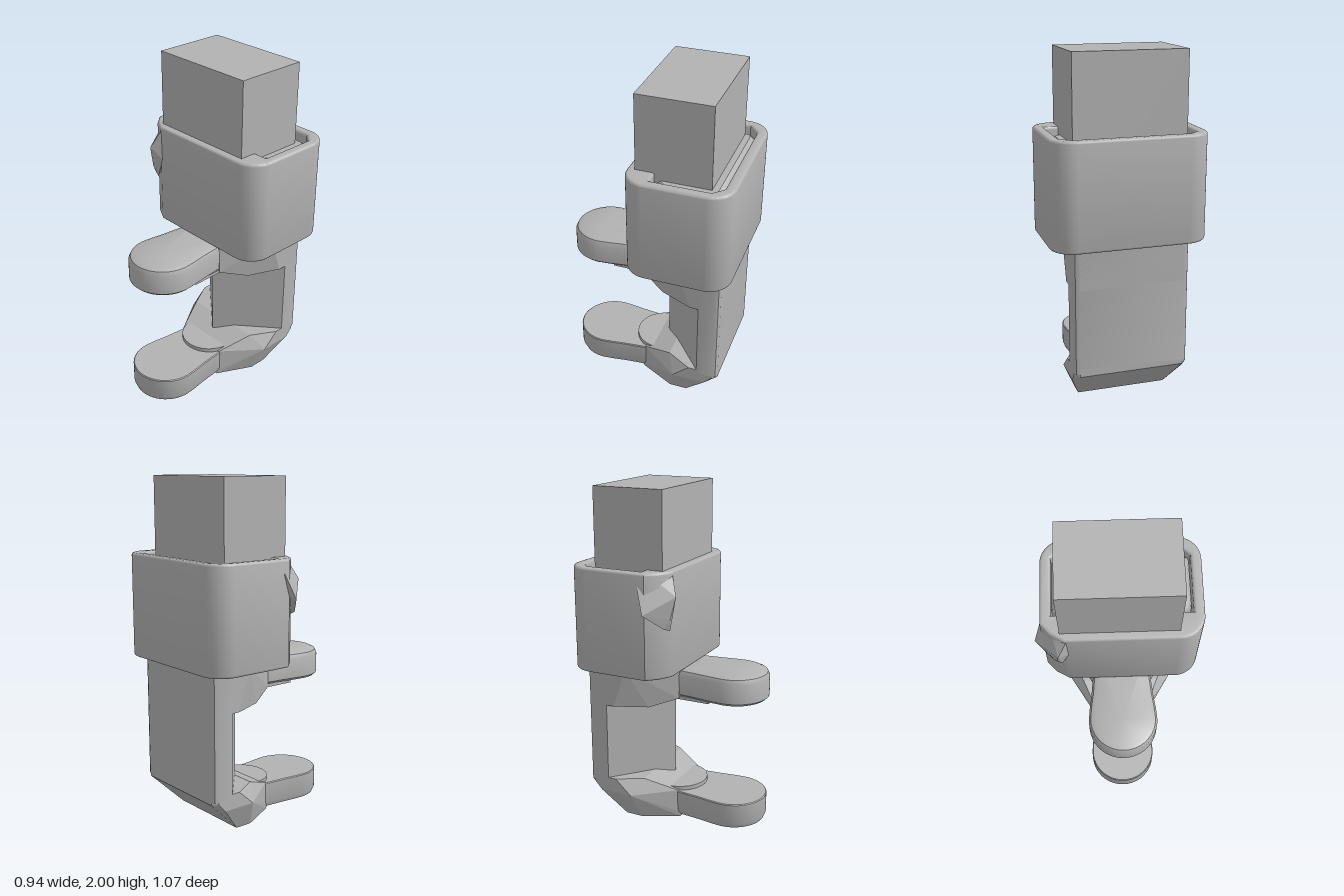
import * as THREE from 'three';
import { toCreasedNormals } from 'three/addons/utils/BufferGeometryUtils.js';
import { ConvexGeometry } from 'three/addons/geometries/ConvexGeometry.js';

const grey = new THREE.MeshStandardMaterial({ color: 0xb2b2b2 });
grey.name = 'plain grey';

function add(parent, name, geometry) {
  const mesh = new THREE.Mesh(geometry, grey);
  mesh.name = name;
  parent.add(mesh);
  return mesh;
}

// Stacks a plan outline [x, z] (running +x, +z, -x, -z) through rings of [inset, y].
function loft(outline, rings) {
  const n = outline.length, pos = [];
  const normals = outline.map((p, i) => {
    const a = outline[(i + n - 1) % n], b = outline[(i + 1) % n];
    return new THREE.Vector2(b[1] - a[1], a[0] - b[0]).normalize();
  });
  const pts = rings.map(([inset, y]) => outline.map((p, i) =>
    [p[0] - normals[i].x * inset, y, p[1] - normals[i].y * inset]));
  const cx = outline.reduce((s, p) => s + p[0], 0) / n;
  const cz = outline.reduce((s, p) => s + p[1], 0) / n;
  const last = pts.length - 1;
  for (let i = 0; i < n; i++) {
    const j = (i + 1) % n;
    for (let r = 0; r < last; r++) {
      const a = pts[r][i], b = pts[r][j], c = pts[r + 1][j], d = pts[r + 1][i];
      pos.push(...a, ...d, ...b, ...b, ...d, ...c);
    }
    pos.push(cx, rings[0][1], cz, ...pts[0][i], ...pts[0][j]);
    pos.push(cx, rings[last][1], cz, ...pts[last][j], ...pts[last][i]);
  }
  const g = new THREE.BufferGeometry();
  g.setAttribute('position', new THREE.Float32BufferAttribute(pos, 3));
  return toCreasedNormals(g, 0.6);
}

// Convex solid from half-width points [x, y, z], mirrored across x.
function mirroredHull(points) {
  return new ConvexGeometry(points.flatMap(([x, y, z]) =>
    [new THREE.Vector3(x, y, z), new THREE.Vector3(-x, y, z)]));
}

// Rounded end of a finger: slightly pinched neck and a half-round tip.
function fingerOutline() {
  const side = [[0.165, -0.12], [0.168, 0], [0.175, 0.08], [0.185, 0.18], [0.197, 0.26]];
  const tip = [];
  for (let i = 0; i <= 24; i++) {
    const t = (i / 24) * Math.PI;
    tip.push([0.203 * Math.cos(t), 0.33 + 0.203 * Math.sin(t)]);
  }
  return [...side, ...tip, ...side.map(([x, z]) => [-x, z]).reverse()];
}

function collarGeometry() {
  // Plan is drawn with y pointing to the back
  const s = new THREE.Shape();
  const r = 0.135, L = -0.425, R = 0.468, F = -0.075, B = 0.535;
  s.moveTo(-0.29, F);
  s.lineTo(R - r, F);
  s.absarc(R - r, F + r, r, -Math.PI / 2, 0, false);
  s.absarc(R - r, B - r, r, 0, Math.PI / 2, false);
  s.absarc(L + r, B - r, r, Math.PI / 2, Math.PI, false);
  s.lineTo(L, 0.03);
  s.lineTo(-0.37, -0.03);
  s.closePath();
  const h = new THREE.Path();
  h.moveTo(-0.365, 0.08);
  h.lineTo(-0.365, 0.42);
  h.lineTo(-0.30, 0.475);
  h.lineTo(0.35, 0.475);
  h.lineTo(0.408, 0.42);
  h.lineTo(0.408, 0.08);
  h.closePath();
  s.holes.push(h);
  const b = 0.015;
  const g = new THREE.ExtrudeGeometry(s, {
    depth: 0.61 - 2 * b, bevelEnabled: true, bevelThickness: b, bevelSize: b,
    bevelOffset: -b, bevelSegments: 3, curveSegments: 12,
  });
  g.rotateX(-Math.PI / 2);
  g.translate(0, 0.95 + b, 0);
  return toCreasedNormals(g, 0.6);
}

export function createModel() {
  const model = new THREE.Group();
  model.name = 'clamp';

  // Square post rising through the collar
  const post = add(model, 'post', new THREE.BoxGeometry(0.65, 1.0, 0.43));
  post.position.set(0.005, 1.5, -0.185);

  add(model, 'collar', collarGeometry());

  // Core filling the collar
  add(model, 'collarCore', loft([
    [0.405, -0.14], [0.34, -0.08], [-0.31, -0.08], [-0.365, -0.14],
    [-0.365, -0.43], [-0.305, -0.475], [0.345, -0.475], [0.405, -0.43],
  ], [[0.03, 0.95], [0, 0.99], [0, 1.47], [0.012, 1.5], [0.04, 1.52]]));

  // Faceted catch on the collar corner
  add(model, 'cornerCatch', new ConvexGeometry([
    [-0.47, 1.34, -0.02], [-0.43, 1.48, -0.07], [-0.37, 1.54, -0.02], [-0.28, 1.55, 0.07],
    [-0.335, 1.43, 0.12], [-0.28, 1.36, 0.075], [-0.32, 1.23, 0.075], [-0.37, 1.25, 0.06],
    [-0.35, 1.30, 0.09], [-0.37, 1.38, -0.05],
  ].map((p) => new THREE.Vector3(...p))));

  const jaw = new THREE.Group();
  jaw.name = 'jaw';
  jaw.position.x = 0.015;
  model.add(jaw);

  // Spine with a ridged front
  add(jaw, 'spine', loft([
    [0.335, -0.35], [0, -0.06], [-0.335, -0.35], [-0.335, -0.445], [-0.326, -0.466],
    [-0.305, -0.475], [0.305, -0.475], [0.326, -0.466], [0.335, -0.445],
  ], [[0, 0.22], [0, 1.0]]));

  // Wedges joining the fingers to the spine
  add(jaw, 'upperWedge', mirroredHull([
    [0.168, 0.955, 0.05], [0.335, 0.955, -0.22], [0.335, 0.955, -0.44], [0.305, 0.955, -0.475],
    [0.175, 0.775, 0.05], [0.255, 0.72, -0.11], [0.335, 0.72, -0.3], [0.335, 0.72, -0.44],
    [0.305, 0.72, -0.475],
  ]));
  add(jaw, 'lowerWedge', mirroredHull([
    [0.16, 0, 0.05], [0.265, 0, -0.16], [0.265, 0, -0.265], [0.15, 0.02, 0.07],
    [0.335, 0.16, -0.2], [0.335, 0.16, -0.4], [0.335, 0.21, -0.445], [0.305, 0.205, -0.475],
    [0.168, 0.175, 0.04], [0.25, 0.25, -0.15], [0.335, 0.25, -0.3], [0.335, 0.25, -0.445],
    [0.305, 0.25, -0.475],
  ]));

  // Fingers, rounded on their outer faces
  const outline = fingerOutline();
  add(jaw, 'upperFinger', loft(outline, [
    [0.015, 0.785], [0, 0.80], [0, 0.915], [0.012, 0.942], [0.04, 0.955],
  ]));
  add(jaw, 'lowerFinger', loft(outline, [
    [0.04, 0.003], [0.012, 0.016], [0, 0.045], [0, 0.165], [0.005, 0.17],
  ]));

  // Shallow steps on the gripping faces
  const upperStep = add(jaw, 'upperStep', new THREE.BoxGeometry(0.34, 0.02, 0.24));
  upperStep.position.set(0, 0.779, 0.115);
  const lowerStep = add(jaw, 'lowerStep', new THREE.CylinderGeometry(0.17, 0.17, 0.03, 32));
  lowerStep.position.set(0, 0.18, -0.03);

  return model;
}
